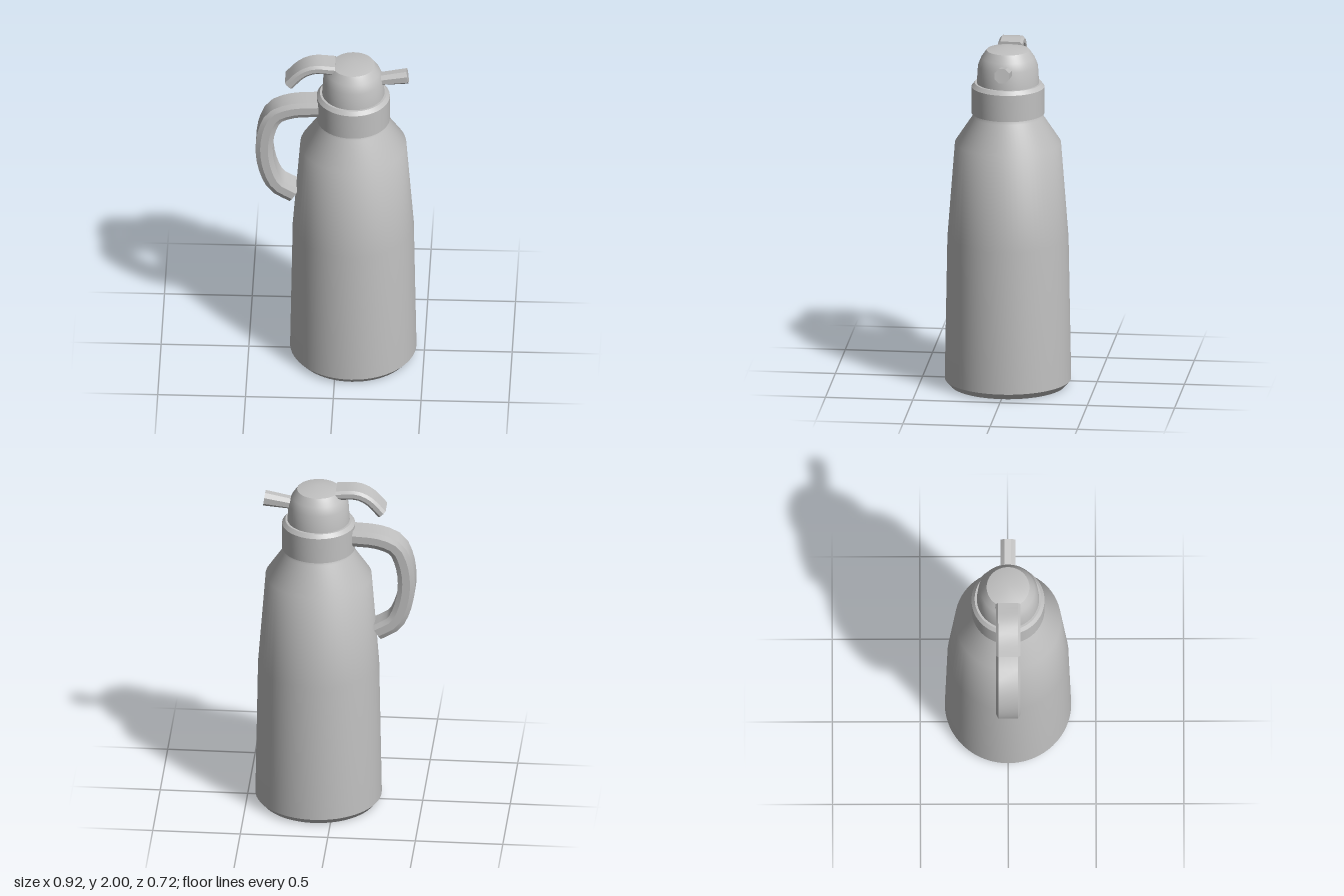
import * as THREE from 'three';
import { toCreasedNormals } from 'three/addons/utils/BufferGeometryUtils.js';

const AXIS_X = 0.095; // the flask axis sits off centre because of the handle

// Sweep a chamfered rectangle along a path in the xy plane.
// half: half thickness at start and end, chamfers as fractions of the half sizes
function sweepBar(points, steps, halfWidth, [halfStart, halfEnd], cutWidth, cutThick) {
  const curve = new THREE.CatmullRomCurve3(points.map(([x, y]) => new THREE.Vector3(x, y, 0)));
  const w = 1 - cutWidth, t = 1 - cutThick;
  // [thickness, width] corners, counter-clockwise seen from the far end
  const section = [[1, -w], [1, w], [t, 1], [-t, 1], [-1, w], [-1, -w], [-t, -1], [t, -1]];
  const n = section.length, positions = [], indices = [];
  for (let i = 0; i <= steps; i++) {
    const u = i / steps;
    const p = curve.getPointAt(u), d = curve.getTangentAt(u);
    const half = halfStart + (halfEnd - halfStart) * u;
    for (const [a, b] of section) {
      positions.push(p.x - d.y * a * half, p.y + d.x * a * half, b * halfWidth);
    }
  }
  for (let i = 0; i < steps; i++) {
    for (let j = 0; j < n; j++) {
      const k = (j + 1) % n, r = i * n, s = r + n;
      indices.push(r + j, r + k, s + k, r + j, s + k, s + j);
    }
  }
  const last = steps * n;
  for (let j = 1; j < n - 1; j++) {
    indices.push(0, j + 1, j, last, last + j, last + j + 1);
  }
  const geometry = new THREE.BufferGeometry();
  geometry.setAttribute('position', new THREE.Float32BufferAttribute(positions, 3));
  geometry.setIndex(indices);
  return toCreasedNormals(geometry, 0.42);
}

// Turned part; edges sharper than the crease angle stay crisp
function turned(profile, crease = 0.6) {
  const lathe = new THREE.LatheGeometry(profile.map(([r, y]) => new THREE.Vector2(r, y)), 64);
  const geometry = toCreasedNormals(lathe, crease);
  geometry.translate(AXIS_X, 0, 0);
  return geometry;
}

export function createModel() {
  const group = new THREE.Group();
  const grey = new THREE.MeshStandardMaterial({ color: 0xc0c0c0 });
  grey.name = 'plain grey';

  const add = (name, geometry) => {
    const mesh = new THREE.Mesh(geometry, grey);
    mesh.name = name;
    group.add(mesh);
  };

  // Bevelled foot
  add('foot', turned([[0, 0], [0.33, 0], [0.36, 0.035]]));

  // Tapering flask with a sloped shoulder
  add('body', turned([[0.36, 0.035], [0.345, 0.87], [0.302, 1.43], [0.2, 1.585], [0.195, 1.61]], 0.7));

  // Collar ring with a bevelled rim
  add('collar', turned([[0.18, 1.605], [0.208, 1.605], [0.208, 1.76], [0.19, 1.782], [0.17, 1.782]], 0.5));

  // Domed lid and its shallow crown
  add('lid', turned([[0.178, 1.775], [0.171, 1.885], [0.152, 1.932], [0.122, 1.975]], 0.7));
  add('lidCrown', turned([[0.122, 1.975], [0, 2]]));

  // Carrying handle, from the collar down to the body
  add('handle', sweepBar([
    [-0.1, 1.693], [-0.25, 1.68], [-0.35, 1.635], [-0.395, 1.54], [-0.411, 1.4],
    [-0.388, 1.26], [-0.34, 1.16], [-0.24, 1.097],
  ], 18, 0.07, [0.049, 0.049], 0.2, 0.55));

  // Thumb lever on the lid
  add('lever', sweepBar([
    [-0.008, 1.965], [-0.13, 1.969], [-0.2, 1.935], [-0.272, 1.857],
  ], 9, 0.07, [0.028, 0.028], 0.2, 0.55));

  // Pouring spout
  add('spout', sweepBar([[0.235, 1.88], [0.405, 1.905]], 1, 0.042, [0.031, 0.041], 0.55, 0.55));

  return group;
}
